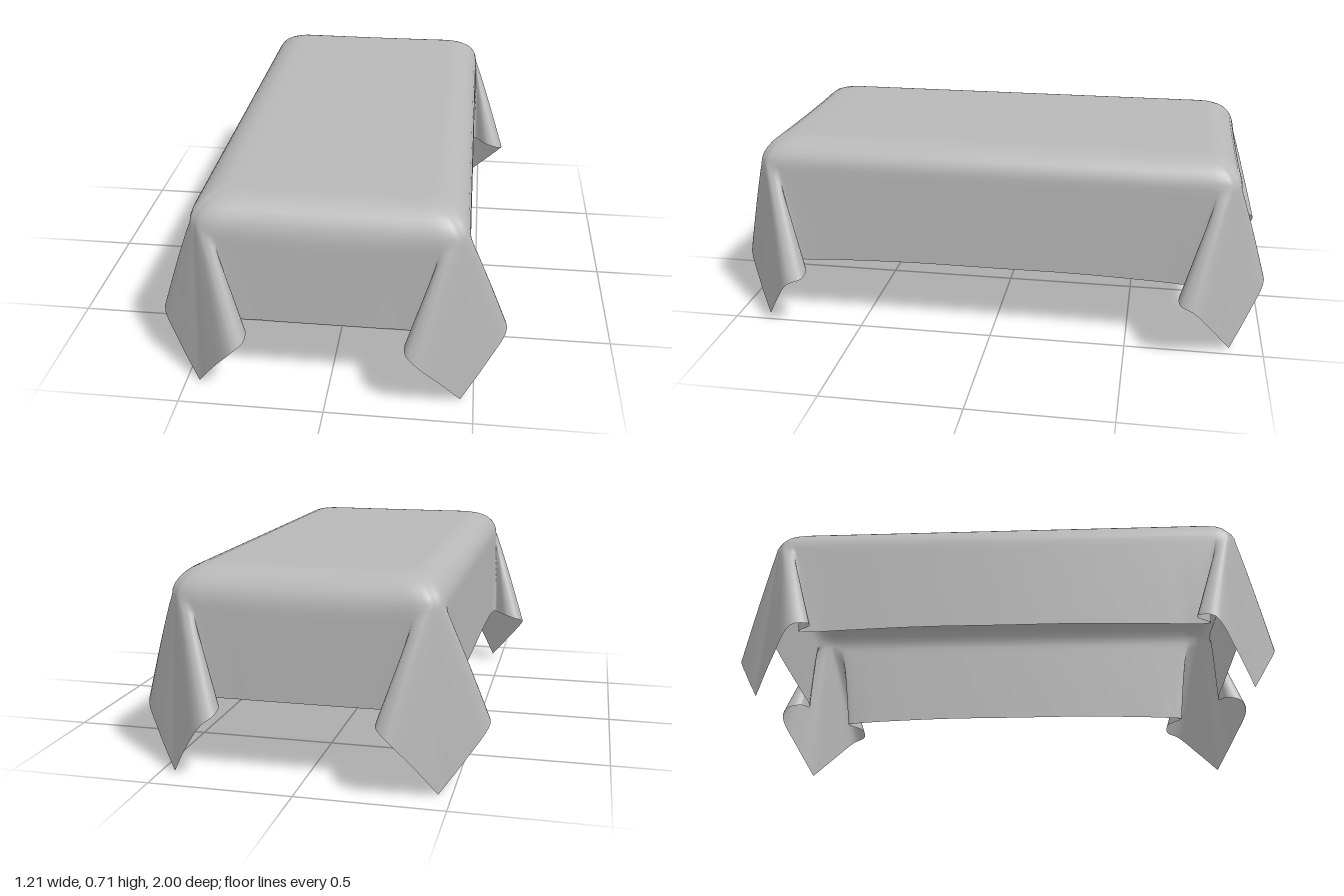
import * as THREE from 'three';

const TOP = 0.71;

// Control columns: [rimX, rimZ, hemX, hemY, hemZ], from mid-side to the flap tip
const SIDE = [
  [0.46, 0, 0.46, 0.26, 0], [0.46, 0.3, 0.46, 0.26, 0.3], [0.46, 0.58, 0.46, 0.252, 0.58],
  [0.46, 0.7, 0.462, 0.247, 0.69], [0.46, 0.79, 0.472, 0.245, 0.745], [0.459, 0.81, 0.53, 0.238, 0.69],
  [0.457, 0.825, 0.585, 0.222, 0.692], [0.454, 0.84, 0.603, 0.205, 0.74], [0.448, 0.85, 0.54, 0.11, 0.81],
  [0.435, 0.862, 0.455, 0, 0.88],
];
// From the flap tip to mid-end
const END = [
  [0.435, 0.862, 0.455, 0, 0.88], [0.422, 0.874, 0.385, 0.11, 0.945], [0.41, 0.879, 0.305, 0.215, 0.998],
  [0.395, 0.882, 0.267, 0.245, 0.975], [0.38, 0.884, 0.272, 0.262, 0.92], [0.36, 0.885, 0.325, 0.272, 0.89],
  [0.3, 0.885, 0.262, 0.275, 0.884], [0.18, 0.885, 0.17, 0.275, 0.885], [0, 0.885, 0, 0.275, 0.885],
];

// Smoothly resample control columns into rim and hem point pairs
function sampleColumns(columns, perSpan) {
  const rim = new THREE.CatmullRomCurve3(columns.map((c) => new THREE.Vector3(c[0], 0, c[1])));
  const hem = new THREE.CatmullRomCurve3(columns.map((c) => new THREE.Vector3(c[2], c[3], c[4])));
  const n = (columns.length - 1) * perSpan;
  return Array.from({ length: n + 1 }, (_, i) => ({ rim: rim.getPoint(i / n), hem: hem.getPoint(i / n) }));
}

// One column of cloth: flat top, rounded shoulder, then a hang that opens into the folds
function columnPoints({ rim, hem }) {
  const points = [0, 0.5, 0.85].map((s) => new THREE.Vector3(rim.x * 0.74 * s, TOP, rim.z * 0.865 * s));
  const drop = 0.1 + 0.03 * Math.max(0, 1 - (rim.x / 0.46) ** 2);
  for (let i = 0; i <= 8; i++) {
    const a = (i / 8) * Math.PI / 2;
    const s = Math.sin(a);
    points.push(new THREE.Vector3(
      rim.x * (0.74 + 0.26 * s), TOP - drop * (1 - Math.cos(a)), rim.z * (0.865 + 0.135 * s)));
  }
  const rimY = TOP - drop;
  for (let i = 1; i <= 14; i++) {
    const t = i / 14;
    const f = t ** 0.92;
    points.push(new THREE.Vector3(
      THREE.MathUtils.lerp(rim.x, hem.x, f), THREE.MathUtils.lerp(rimY, hem.y, t),
      THREE.MathUtils.lerp(rim.z, hem.z, f)));
  }
  return points;
}

function clothGeometry() {
  const quarter = [...sampleColumns(SIDE, 5), ...sampleColumns(END, 5).slice(1)].map(columnPoints);
  const mirror = (sx, sz) => quarter.map((col) => col.map((p) => new THREE.Vector3(p.x * sx, p.y, p.z * sz)));
  // Four mirrored quarters form a closed ring; shared seam columns are dropped
  const ring = [
    ...mirror(1, 1).slice(0, -1), ...mirror(-1, 1).reverse().slice(0, -1),
    ...mirror(-1, -1).slice(0, -1), ...mirror(1, -1).reverse().slice(0, -1),
  ];
  const rows = ring[0].length;
  const index = [];
  for (let i = 0; i < ring.length; i++) {
    const a = i * rows;
    const b = ((i + 1) % ring.length) * rows;
    for (let j = 0; j < rows - 1; j++) {
      if (j > 0) index.push(a + j, b + j, a + j + 1);
      index.push(b + j, b + j + 1, a + j + 1);
    }
  }
  const geometry = new THREE.BufferGeometry().setFromPoints(ring.flat());
  geometry.setIndex(index);
  geometry.computeVertexNormals();
  return geometry;
}

export function createModel() {
  const group = new THREE.Group();
  group.name = 'drapedCloth';
  const material = new THREE.MeshStandardMaterial({ color: 0xb8b8b8, side: THREE.DoubleSide });
  material.name = 'greyCloth';
  const cloth = new THREE.Mesh(clothGeometry(), material);
  cloth.name = 'tablecloth';
  group.add(cloth);
  return group;
}
